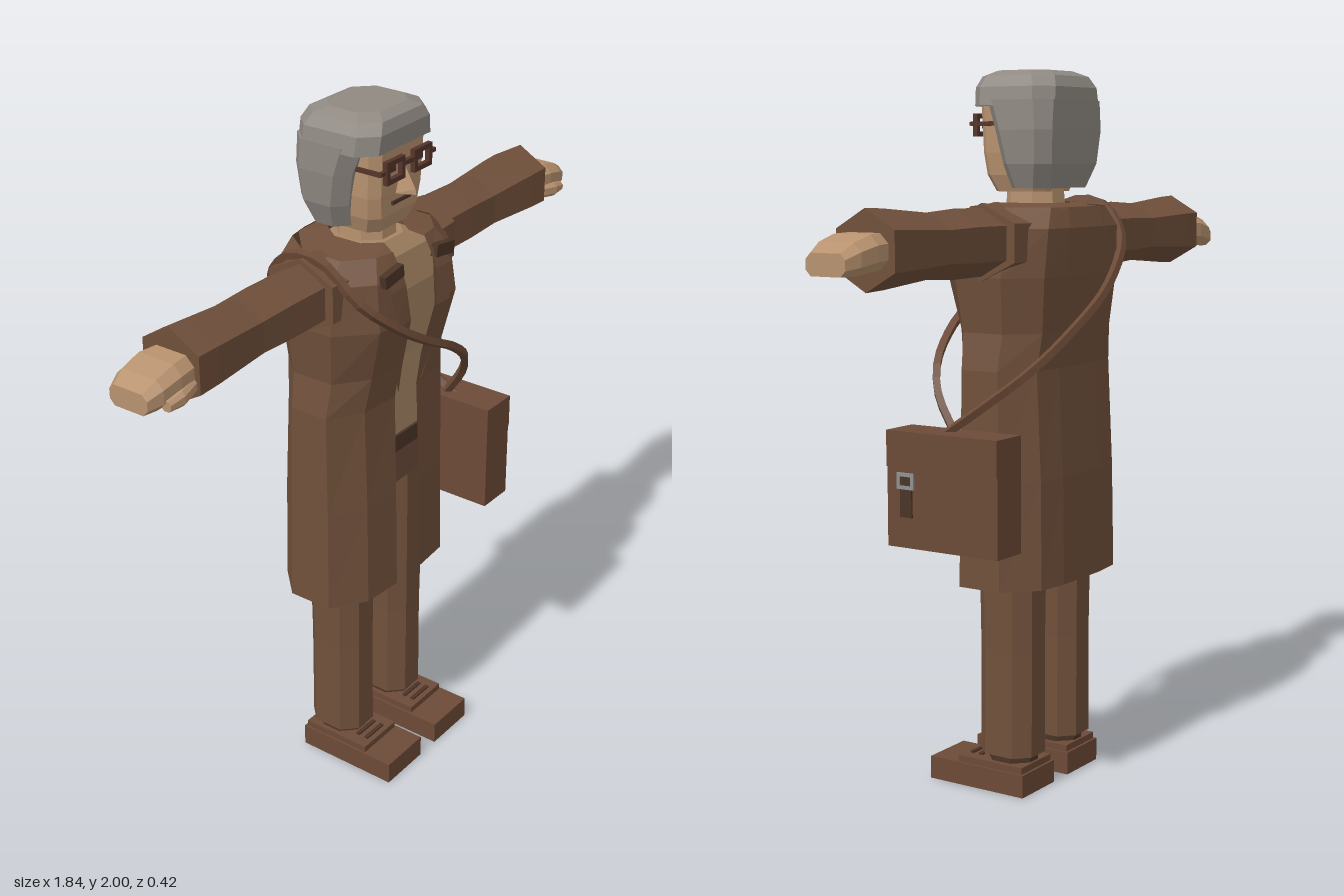
import * as THREE from 'three';

const mat = (name, color, side = THREE.FrontSide) => {
  const m = new THREE.MeshStandardMaterial({ color, side });
  m.name = name;
  return m;
};

// Faceted normals
const flat = (g) => {
  const f = g.index ? g.toNonIndexed() : g;
  f.computeVertexNormals();
  return f;
};

// Skin stacked rings (each runs front, +x, back, -x); closed rings get end caps
function loft(rings, closed = true) {
  const n = rings[0].length, idx = [];
  for (let r = 0; r < rings.length - 1; r++)
    for (let i = 0; i < (closed ? n : n - 1); i++) {
      const a = r * n + i, b = r * n + (i + 1) % n;
      idx.push(a, b, b + n, a, b + n, a + n);
    }
  const t = (rings.length - 1) * n;
  if (closed) for (let i = 1; i < n - 1; i++) idx.push(0, i + 1, i, t, t + i, t + i + 1);
  const g = new THREE.BufferGeometry();
  g.setAttribute('position', new THREE.Float32BufferAttribute(rings.flat(2), 3));
  g.setIndex(idx);
  return flat(g);
}

// Chamfered rectangle ring: half width, front z, back z, chamfer, x shift
const oct = (y, w, zf, zb, c = 0.04, dx = 0) => [
  [w - c, zf], [w, zf - c], [w, zb + c], [w - c, zb],
  [c - w, zb], [-w, zb + c], [-w, zf - c], [c - w, zf],
].map(([x, z]) => [x + dx, y, z]);

// Hexagon ring with points on the x axis
const hex = (y, rx, rz, cz = -0.025) => Array.from({ length: 6 }, (_, i) => {
  const a = i * Math.PI / 3;
  return [rx * Math.cos(a), y, cz - rz * Math.sin(a) / Math.sin(Math.PI / 3)];
});

export function createModel() {
  const root = new THREE.Group();
  const brown = mat('brown cloth', 0x70503b, THREE.DoubleSide);
  const leather = mat('brown leather', 0x6c4a37);
  const dark = mat('dark brown', 0x4b3427);
  const skin = mat('skin', 0xb8926f);
  const shirtMat = mat('tan shirt', 0xa88665);
  const grey = mat('grey hair', 0x8f8982);
  const frameMat = mat('glasses brown', 0x54342a);
  const metal = mat('metal', 0x8f9291);

  const add = (name, geo, material, x = 0, y = 0, z = 0, parent = root) => {
    const m = new THREE.Mesh(geo, material);
    m.name = name;
    m.position.set(x, y, z);
    parent.add(m);
    return m;
  };
  const box = (name, w, h, d, material, x, y, z, parent) =>
    add(name, new THREE.BoxGeometry(w, h, d), material, x, y, z, parent);

  // Rectangular frame with a hole, facing +z
  const frame = (w, h, t, depth) => {
    const rect = (P, a, b) => new P().moveTo(-a, -b).lineTo(a, -b).lineTo(a, b).lineTo(-a, b).closePath();
    const s = rect(THREE.Shape, w / 2, h / 2);
    s.holes.push(rect(THREE.Path, w / 2 - t, h / 2 - t));
    return new THREE.ExtrudeGeometry(s, { depth, bevelEnabled: false });
  };

  // Coat rows: y, half width, front z, back z, half opening
  const rows = [
    [0.60, 0.275, 0.13, -0.175, 0.055], [0.90, 0.27, 0.125, -0.17, 0.055],
    [1.20, 0.268, 0.115, -0.155, 0.05], [1.30, 0.25, 0.13, -0.165, 0.05],
    [1.45, 0.268, 0.165, -0.18, 0.06], [1.58, 0.255, 0.15, -0.188, 0.07],
    [1.635, 0.2, 0.12, -0.17, 0.07],
  ];
  add('coat', loft(rows.map(([y, w, f, b, o]) => {
    const half = [[o, f], [w * 0.65, f - 0.01], [w, f * 0.4], [w, b * 0.45], [w * 0.7, b * 0.93], [w * 0.35, b]];
    const other = half.map(([x, z]) => [-x, z]).reverse();
    return [...half, ...other].map(([x, z]) => [x, y, z]);
  }), false), brown);

  // Shoulder yoke rising to the neck, open at the front
  const yoke = (y, w, f, b, o) => [[o, y, f], [w * 0.65, y, f - 0.01], [w, y, f * 0.4], [w, y, b * 0.45],
    [w * 0.5, y, b], [-w * 0.5, y, b], [-w, y, b * 0.45], [-w, y, f * 0.4], [-w * 0.65, y, f - 0.01], [-o, y, f]];
  add('coatYoke', loft([yoke(1.632, 0.2, 0.12, -0.17, 0.07), yoke(1.645, 0.095, 0.08, -0.115, 0.055)], false), brown);

  // Shirt, belt and hips
  add('shirt', loft([oct(1.05, 0.17, 0.1, -0.12), oct(1.3, 0.18, 0.1, -0.12),
    oct(1.5, 0.2, 0.115, -0.13), oct(1.6, 0.16, 0.1, -0.12), oct(1.64, 0.085, 0.07, -0.1)]), shirtMat);
  add('belt', loft([oct(1.015, 0.185, 0.108, -0.13), oct(1.065, 0.18, 0.108, -0.13)]), dark);
  add('hips', loft([oct(0.88, 0.19, 0.07, -0.12), oct(1.02, 0.18, 0.1, -0.125)]), brown);

  for (const s of [1, -1]) {
    const side = s > 0 ? 'left' : 'right';

    // Lapel and collar tab
    const lapelRows = [[1.22, 0.05, 0.055, 0.121], [1.3, 0.05, 0.085, 0.132], [1.45, 0.06, 0.115, 0.167],
      [1.55, 0.068, 0.14, 0.156], [1.605, 0.07, 0.1, 0.138]];
    const edge = lapelRows.map(([y, a, b, z]) => (s > 0
      ? [[a, y, z + 0.006], [b, y, z + 0.008]] : [[-b, y, z + 0.008], [-a, y, z + 0.006]]));
    add(side + 'Lapel', loft(edge, false), brown);
    box(side + 'Collar', 0.08, 0.035, 0.02, dark, s * 0.115, 1.59, 0.15).rotation.z = s * -0.15;

    // Arm, laid out along the sleeve axis
    const arm = new THREE.Group();
    arm.name = side + 'Arm';
    arm.position.y = 1.545;
    arm.rotation.z = -s * Math.PI / 2;
    root.add(arm);
    add(side + 'Shoulder', loft([hex(0.19, 0.1, 0.11), hex(0.275, 0.103, 0.105)]), brown, 0, 0, 0, arm);
    add(side + 'Sleeve', loft([hex(0.22, 0.09, 0.08), hex(0.4, 0.092, 0.08), hex(0.52, 0.085, 0.078),
      hex(0.7, 0.1, 0.088), hex(0.77, 0.103, 0.09)]), brown, 0, 0, 0, arm);
    add(side + 'Hand', loft([oct(0.74, 0.045, 0.045, -0.09, 0.025), oct(0.82, 0.045, 0.055, -0.105, 0.025, s * 0.003),
      oct(0.88, 0.04, 0.05, -0.1, 0.022, s * 0.015), oct(0.922, 0.028, 0.035, -0.085, 0.015, s * 0.027)]),
    skin, 0, 0, 0, arm);
    add(side + 'Thumb', loft([oct(0.77, 0.02, 0.055, 0.01, 0.01, s * 0.03), oct(0.83, 0.02, 0.072, 0.025, 0.01, s * 0.035),
      oct(0.875, 0.014, 0.066, 0.035, 0.008, s * 0.04)]), skin, 0, 0, 0, arm);

    // Trouser leg and shoe
    const x = s * 0.118;
    add(side + 'Leg', loft([oct(0.105, 0.075, 0.065, -0.105), oct(0.4, 0.073, 0.065, -0.105),
      oct(0.95, 0.08, 0.07, -0.11)]), brown, x);
    add(side + 'Ankle', loft([oct(0.06, 0.06, 0.05, -0.09), oct(0.11, 0.06, 0.05, -0.09)]), dark, x);
    box(side + 'Shoe', 0.163, 0.065, 0.315, leather, x, 0.0325, 0.0525);
    box(side + 'ShoeUpper', 0.15, 0.02, 0.215, leather, x, 0.074, 0.01);
    for (const z of [0.065, 0.095]) box(side + 'Lace', 0.08, 0.006, 0.012, dark, x, 0.086, z);

    // Glasses half and eye
    add(side + 'GlassesRim', frame(0.078, 0.062, 0.013, 0.014), frameMat, s * 0.06, 1.855, 0.108);
    box(side + 'Temple', 0.008, 0.012, 0.11, frameMat, s * 0.117, 1.858, 0.06);
    box(side + 'Hinge', 0.025, 0.01, 0.012, frameMat, s * 0.109, 1.858, 0.112);
    box(side + 'Eye', 0.042, 0.02, 0.008, frameMat, s * 0.06, 1.855, 0.101);
  }

  // Neck, head and face
  add('neck', loft([oct(1.58, 0.072, 0.06, -0.1), oct(1.7, 0.07, 0.055, -0.09)]), skin);
  add('head', loft([oct(1.675, 0.085, 0.07, -0.09, 0.025), oct(1.72, 0.103, 0.088, -0.1, 0.025),
    oct(1.78, 0.112, 0.094, -0.1, 0.025), oct(1.92, 0.115, 0.1, -0.1, 0.025)]), skin);
  add('nose', loft([[1.775, 0.028, 0.142], [1.79, 0.024, 0.14], [1.85, 0.012, 0.105]].map(([y, w, z]) =>
    [[0, y, z], [w, y, 0.085], [-w, y, 0.085]])), skin);
  box('mouth', 0.08, 0.01, 0.008, dark, 0, 1.753, 0.093);
  box('glassesBridge', 0.05, 0.012, 0.012, frameMat, 0, 1.862, 0.114);

  // Hair: rear and sides, then the crown with a fringe
  add('hairBack', loft([oct(1.685, 0.125, 0.0, -0.125, 0.035), oct(1.75, 0.15, 0.012, -0.145, 0.035),
    oct(1.84, 0.16, 0.03, -0.152, 0.035), oct(1.92, 0.158, 0.06, -0.152, 0.04)]), grey);
  add('hairCrown', loft([oct(1.905, 0.158, 0.105, -0.152, 0.045), oct(1.955, 0.15, 0.108, -0.15, 0.045),
    oct(1.985, 0.132, 0.098, -0.135, 0.045), oct(2.0, 0.1, 0.07, -0.1, 0.04)]), grey);

  // Shoulder bag with flap, tab and buckle
  box('bag', 0.112, 0.32, 0.36, leather, 0.338, 0.88, 0.025);
  box('bagFlap', 0.006, 0.1, 0.36, leather, 0.395, 0.99, 0.025);
  box('bagTab', 0.006, 0.12, 0.038, dark, 0.397, 0.865, 0.14);
  add('bagBuckle', frame(0.055, 0.045, 0.01, 0.006), metal, 0.397, 0.905, 0.14).rotation.y = Math.PI / 2;

  // Strap across the chest, over the right shoulder and down the back
  const path = new THREE.CatmullRomCurve3([
    [0.32, 1.03, 0.03], [0.3, 1.13, 0.1], [0.25, 1.21, 0.14], [0.13, 1.3, 0.175], [0, 1.37, 0.187],
    [-0.14, 1.46, 0.18], [-0.235, 1.55, 0.13], [-0.25, 1.64, 0.03], [-0.25, 1.64, -0.08],
    [-0.22, 1.55, -0.165], [-0.1, 1.42, -0.195], [0.1, 1.29, -0.185], [0.24, 1.2, -0.15],
    [0.305, 1.11, -0.05], [0.33, 1.03, 0.06],
  ].map((p) => new THREE.Vector3(...p)));
  add('bagStrap', flat(new THREE.TubeGeometry(path, 48, 0.014, 4)), leather);

  return root;
}
